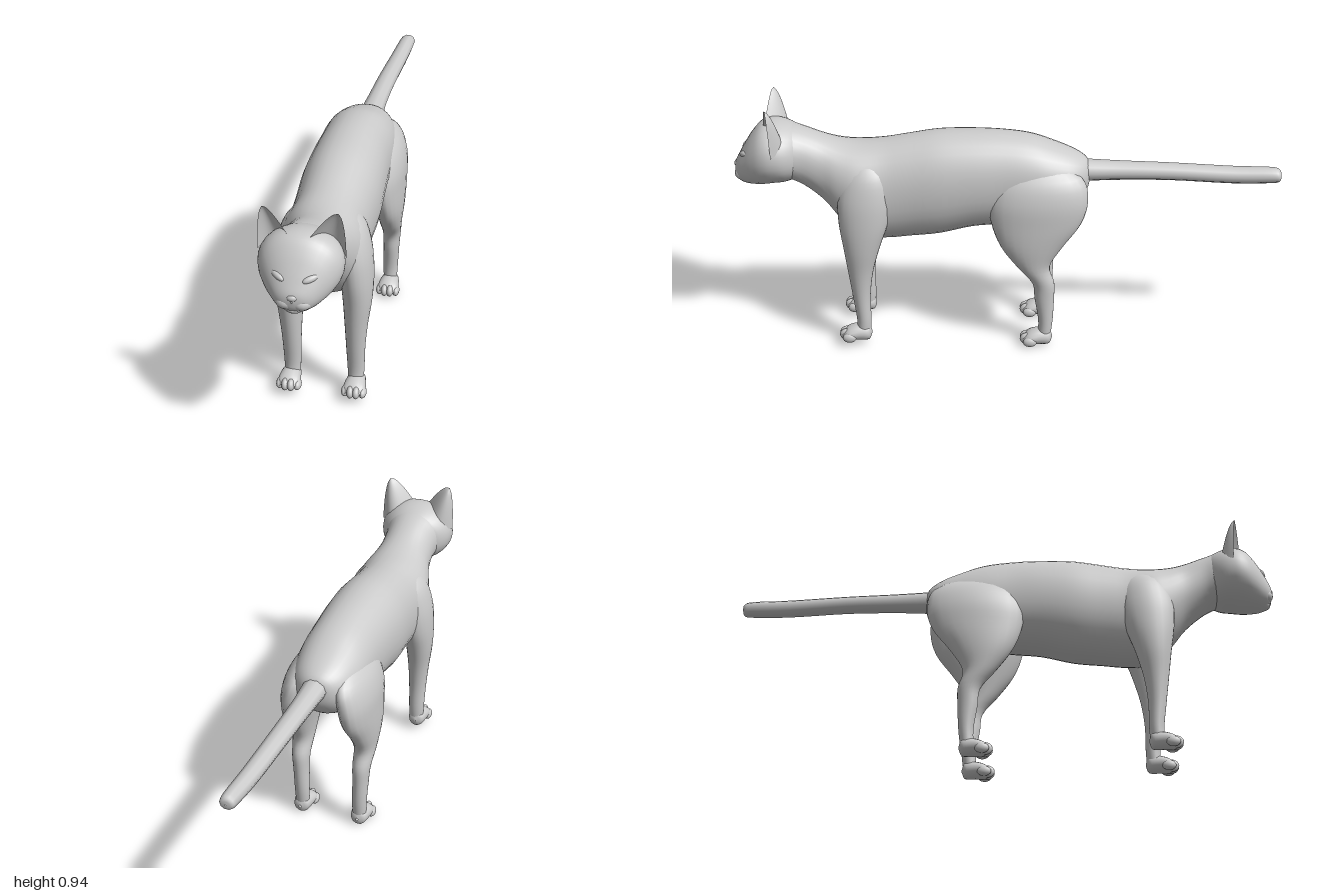
import * as THREE from 'three';

const grey = new THREE.MeshStandardMaterial({ color: 0xcccccc });
const greyDouble = new THREE.MeshStandardMaterial({ color: 0xcccccc, side: THREE.DoubleSide });

function addMesh(parent, name, geometry, material = grey) {
  const mesh = new THREE.Mesh(geometry, material);
  mesh.name = name;
  parent.add(mesh);
  return mesh;
}

// Indexed surface from a function of column j (around) and row i (along)
function gridGeometry(rows, cols, closed, pointAt) {
  const pos = [], index = [];
  const n = closed ? cols : cols + 1;
  for (let i = 0; i <= rows; i++)
    for (let j = 0; j < n; j++) pos.push(...pointAt(i / rows, j / cols));
  for (let i = 0; i < rows; i++)
    for (let j = 0; j < cols; j++) {
      const k = (j + 1) % n, a = i * n, b = a + n;
      index.push(a + j, a + k, b + k, a + j, b + k, b + j);
    }
  const g = new THREE.BufferGeometry();
  g.setAttribute('position', new THREE.Float32BufferAttribute(pos, 3));
  g.setIndex(index);
  g.computeVertexNormals();
  return g;
}

// Smooth loft through ellipses [cx, cy, cz, radiusX, radiusOther].
// Rings lie across z, or flat across y when upright; sections run in + direction.
function loft(sections, { upright = false, sides = 24, steps = 4, power = 1 } = {}) {
  const centres = new THREE.CatmullRomCurve3(
    sections.map(s => new THREE.Vector3(s[0], s[1], s[2])), false, 'catmullrom');
  const radii = new THREE.CatmullRomCurve3(
    sections.map(s => new THREE.Vector3(s[3], s[4], 0)), false, 'catmullrom');
  const shape = v => Math.sign(v) * Math.pow(Math.abs(v), power);
  return gridGeometry((sections.length - 1) * steps, sides, true, (t, u) => {
    const c = centres.getPoint(t), r = radii.getPoint(t), a = u * Math.PI * 2;
    const dx = Math.max(r.x, 0) * shape(Math.cos(a));
    const d = Math.max(r.y, 0) * shape(Math.sin(a));
    return upright ? [c.x + dx, c.y, c.z - d] : [c.x + dx, c.y + d, c.z];
  });
}

// Side profile rows [z, top, bottom, halfWidth] to loft sections
const profile = rows => rows.map(([z, top, bot, w]) =>
  [0, (top + bot) / 2, z, w, (top - bot) / 2]);

function blob(parent, name, [x, y, z], [rx, ry, rz], tilt = 0) {
  const m = addMesh(parent, name, new THREE.SphereGeometry(1, 16, 10));
  m.position.set(x, y, z);
  m.scale.set(rx, ry, rz);
  m.rotation.z = tilt;
  return m;
}

// Paw with four toes; z is the heel, y the sole height
function addPaw(parent, name, s, cx, y, z) {
  const paw = new THREE.Group();
  paw.name = name;
  parent.add(paw);
  addMesh(paw, 'foot', loft([
    [s * cx, y + 0.03, z, 0.004, 0.006],
    [s * cx, y + 0.031, z + 0.012, 0.028, 0.03],
    [s * cx, y + 0.032, z + 0.05, 0.037, 0.032],
    [s * cx, y + 0.027, z + 0.085, 0.04, 0.026],
    [s * cx, y + 0.022, z + 0.108, 0.028, 0.012],
  ], { sides: 16 }));
  [-1.5, -0.5, 0.5, 1.5].forEach(k => {
    const outer = Math.abs(k) > 1;
    blob(paw, 'toe', [s * cx + k * 0.021, y + (outer ? 0.019 : 0.024), z + (outer ? 0.083 : 0.095)],
      [0.014, outer ? 0.019 : 0.023, 0.026]);
  });
}

// Cupped ear, opening forwards
function earGeometry(s) {
  return gridGeometry(12, 14, false, (v, t) => {
    const u = t * 2 - 1;
    const w = Math.pow(1 - v, 0.62);
    const inner = [0.036, 0.852], outer = [0.146, 0.765], tip = [0.124, 0.937];
    const mid = [0, 1].map(k => THREE.MathUtils.lerp((inner[k] + outer[k]) / 2, tip[k], v));
    const half = [0, 1].map(k => (outer[k] - inner[k]) / 2 * w);
    const bulge = (1 - u * u) * w;
    const z = 0.862 - 0.018 * u * w - 0.055 * bulge - 0.004 * v;
    return [s * (mid[0] + half[0] * u), mid[1] + half[1] * u, z];
  });
}

export function createModel() {
  const cat = new THREE.Group();
  cat.name = 'cat';

  // Trunk and neck
  addMesh(cat, 'body', loft(profile([
    [-0.305, 0.67, 0.64, 0.006],
    [-0.29, 0.71, 0.59, 0.06],
    [-0.24, 0.742, 0.535, 0.105],
    [-0.16, 0.775, 0.50, 0.128],
    [-0.08, 0.802, 0.475, 0.135],
    [0.02, 0.816, 0.458, 0.137],
    [0.13, 0.82, 0.448, 0.143],
    [0.25, 0.817, 0.42, 0.147],
    [0.36, 0.80, 0.408, 0.142],
    [0.45, 0.785, 0.40, 0.141],
    [0.54, 0.778, 0.412, 0.148],
    [0.61, 0.785, 0.475, 0.128],
    [0.67, 0.802, 0.55, 0.106],
    [0.74, 0.828, 0.61, 0.101],
    [0.80, 0.843, 0.645, 0.11],
    [0.84, 0.82, 0.68, 0.08],
  ]), { sides: 32, power: 0.93 }));

  // Head
  const head = new THREE.Group();
  head.name = 'head';
  cat.add(head);
  addMesh(head, 'skull', loft(profile([
    [0.735, 0.76, 0.72, 0.01],
    [0.755, 0.822, 0.655, 0.088],
    [0.80, 0.849, 0.632, 0.13],
    [0.85, 0.859, 0.626, 0.142],
    [0.89, 0.85, 0.62, 0.134],
    [0.925, 0.815, 0.618, 0.112],
    [0.955, 0.77, 0.62, 0.085],
    [0.978, 0.73, 0.63, 0.06],
    [0.991, 0.705, 0.65, 0.034],
    [0.996, 0.685, 0.675, 0.003],
  ]), { sides: 32, power: 0.95 }));
  blob(head, 'nose', [0, 0.69, 0.985], [0.02, 0.013, 0.015]);
  blob(head, 'chin', [0, 0.637, 0.962], [0.032, 0.017, 0.026]);
  for (const s of [1, -1]) {
    blob(head, 'muzzlePad', [s * 0.026, 0.662, 0.966], [0.034, 0.026, 0.03]);
    blob(head, 'eye', [s * 0.053, 0.746, 0.953], [0.029, 0.012, 0.012], s * 0.25).rotation.y = s * 0.6;
    addMesh(head, s > 0 ? 'leftEar' : 'rightEar', earGeometry(s), greyDouble);
  }

  // Legs, from ankle to shoulder or hip: [x, y, z, radiusX, radiusZ]
  const frontLeg = [
    [0.115, 0.04, 0.54, 0.027, 0.027],
    [0.115, 0.10, 0.536, 0.03, 0.027],
    [0.115, 0.20, 0.542, 0.034, 0.033],
    [0.117, 0.30, 0.542, 0.041, 0.046],
    [0.12, 0.40, 0.535, 0.051, 0.066],
    [0.116, 0.50, 0.525, 0.058, 0.09],
    [0.105, 0.60, 0.518, 0.06, 0.098],
    [0.083, 0.69, 0.51, 0.053, 0.08],
    [0.06, 0.755, 0.51, 0.01, 0.015],
  ];
  const hindLeg = [
    [0.115, 0.03, -0.138, 0.025, 0.024],
    [0.115, 0.10, -0.143, 0.028, 0.027],
    [0.118, 0.19, -0.138, 0.03, 0.036],
    [0.12, 0.26, -0.133, 0.034, 0.041],
    [0.122, 0.33, -0.096, 0.041, 0.061],
    [0.121, 0.41, -0.09, 0.051, 0.114],
    [0.114, 0.50, -0.106, 0.06, 0.164],
    [0.106, 0.59, -0.115, 0.064, 0.178],
    [0.085, 0.67, -0.12, 0.056, 0.15],
    [0.06, 0.74, -0.12, 0.01, 0.03],
  ];
  for (const s of [1, -1]) {
    const side = s > 0 ? 'left' : 'right';
    const mirrored = leg => leg.map(([x, ...rest]) => [s * x, ...rest]);
    addMesh(cat, side + 'FrontLeg', loft(mirrored(frontLeg), { upright: true }));
    addMesh(cat, side + 'HindLeg', loft(mirrored(hindLeg), { upright: true }));
    addPaw(cat, side + 'FrontPaw', s, 0.118, 0.018, 0.508);
    addPaw(cat, side + 'HindPaw', s, 0.115, 0, -0.168);
  }

  // Tail, tip to root
  addMesh(cat, 'tail', loft([
    [0.028, 0.655, -1.0, 0.002, 0.002],
    [0.028, 0.655, -0.994, 0.024, 0.022],
    [0.026, 0.656, -0.96, 0.03, 0.03],
    [0.018, 0.654, -0.82, 0.034, 0.032],
    [0.008, 0.662, -0.6, 0.037, 0.032],
    [0.003, 0.664, -0.42, 0.04, 0.035],
    [0.002, 0.665, -0.3, 0.046, 0.04],
    [0, 0.665, -0.24, 0.05, 0.045],
  ], { sides: 10 }));

  return cat;
}
